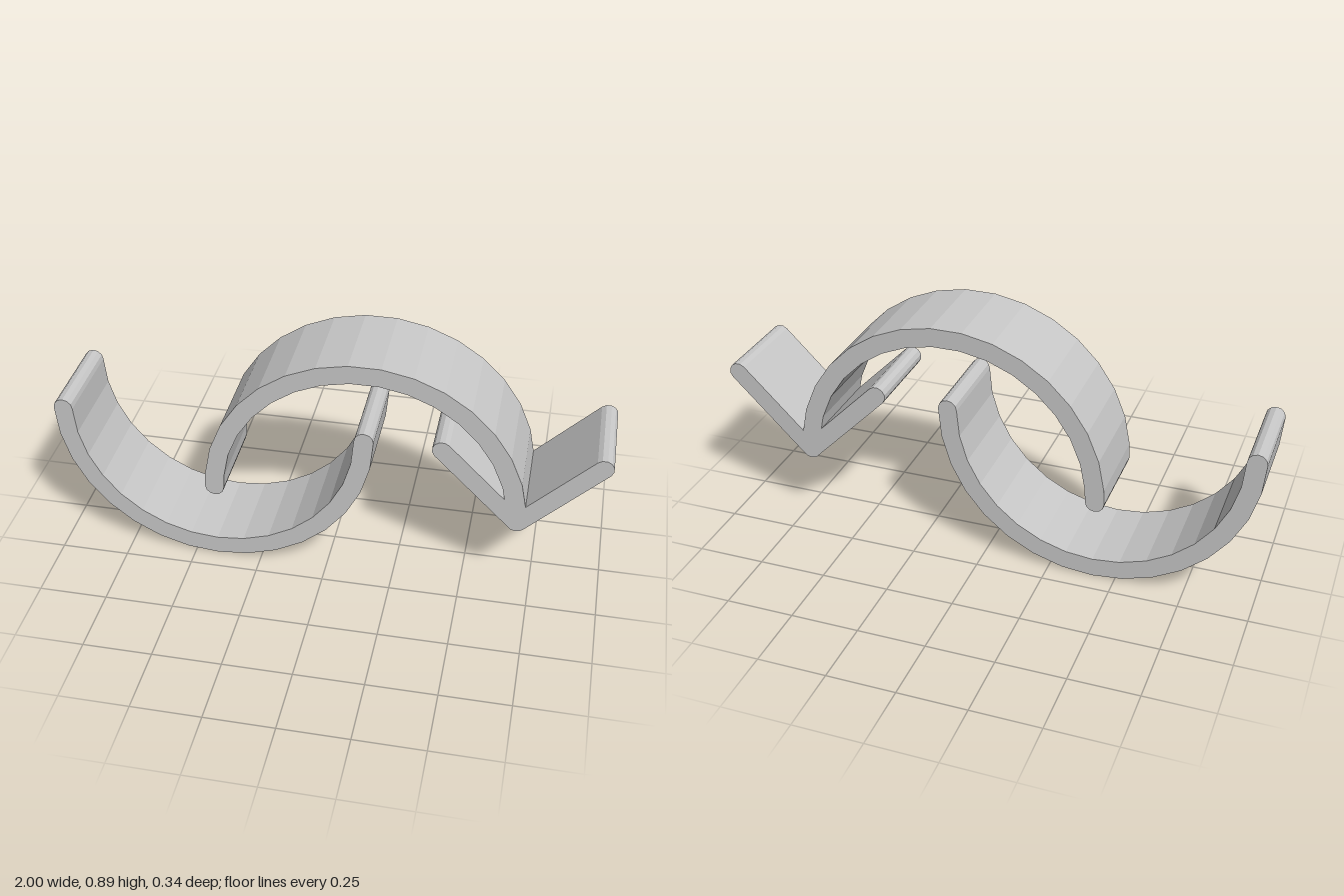
import * as THREE from 'three';

const R = 0.55;        // centreline radius of both arches
const T = 0.035;       // half the strip thickness
const DEPTH = 0.345;
const STEP = Math.PI / 16;

// Points along a circle through the given angles
const ring = (cx, cy, r, angles) =>
  angles.map(a => new THREE.Vector2(cx + r * Math.cos(a), cy + r * Math.sin(a)));

// Evenly spaced angles from a to b
const sweep = (a, b, n) => Array.from({ length: n + 1 }, (_, i) => a + (b - a) * i / n);

// Rounded strip end
const cap = (cx, cy, from, to, n = 6) => ring(cx, cy, T, sweep(from, to, n));

export function createModel() {
  const group = new THREE.Group();
  const grey = new THREE.MeshStandardMaterial({ color: 0xc8c8c8 });
  grey.name = 'light grey';

  const addStrip = (name, points) => {
    const geometry = new THREE.ExtrudeGeometry(new THREE.Shape(points), { depth: DEPTH, bevelEnabled: false });
    geometry.translate(0, 0, -DEPTH / 2);
    const mesh = new THREE.Mesh(geometry, grey);
    mesh.name = name;
    group.add(mesh);
  };

  // Half ring with round ends, following the given angles counter-clockwise
  const halfRing = (cx, cy, angles) => {
    const a = angles[0], b = angles[angles.length - 1];
    const end = [cx + R * Math.cos(b), cy + R * Math.sin(b)];
    const start = [cx + R * Math.cos(a), cy + R * Math.sin(a)];
    return [
      ...ring(cx, cy, R + T, angles),
      ...cap(...end, b, b + Math.PI).slice(1, -1),
      ...ring(cx, cy, R - T, [...angles].reverse()),
      ...cap(...start, a + Math.PI, a + 2 * Math.PI).slice(1, -1),
    ];
  };

  // Lower cup
  addStrip('lowerArc', halfRing(-0.415, 0.585, sweep(Math.PI, 2 * Math.PI, 16)));

  // Upper arch, facets shifted by half a step so the crown is flat
  addStrip('upperArc', halfRing(0.135, 0.31, [0, ...sweep(STEP / 2, Math.PI - STEP / 2, 15), Math.PI]));

  // V-shaped arrowhead at the foot of the arch
  const tip = [0.687, 0.31], reach = 0.277, q = Math.PI / 4;
  addStrip('arrowhead', [
    ...cap(tip[0] + reach, tip[1] + reach, -q, 3 * q),
    new THREE.Vector2(tip[0], tip[1] + T * Math.SQRT2),
    ...cap(tip[0] - reach, tip[1] + reach, q, 5 * q),
    ...cap(...tip, 5 * q, 7 * q, 4),
  ]);

  return group;
}
